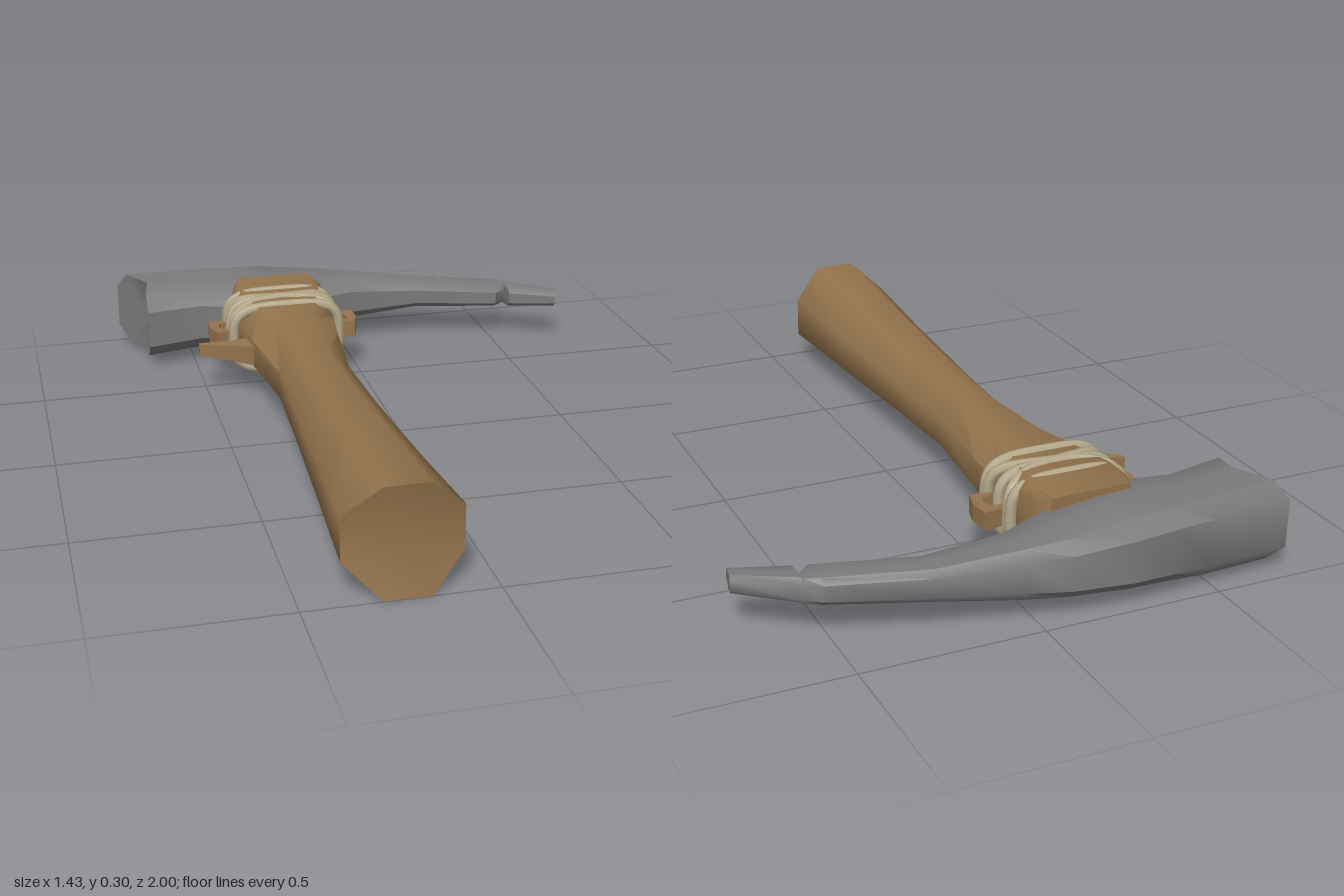
import * as THREE from 'three';
import { toCreasedNormals } from 'three/addons/utils/BufferGeometryUtils.js';

const wood = new THREE.MeshStandardMaterial({ color: 0x93734c });
const metal = new THREE.MeshStandardMaterial({ color: 0x7a7a7a });
const cord = new THREE.MeshStandardMaterial({ color: 0xb5a98c });

// Skins a list of rings (arrays of [x, y, z]) and closes both ends around a centre point.
function loft(rings, crease, startCentre, endCentre) {
  const n = rings[0].length;
  const mean = ring => [0, 1, 2].map(k => ring.reduce((s, p) => s + p[k], 0) / n);
  const first = rings[0], last = rings[rings.length - 1];
  const c0 = startCentre || mean(first), c1 = endCentre || mean(last);
  const tris = [];
  for (let j = 0; j < n; j++) {
    const k = (j + 1) % n;
    tris.push([c0, first[k], first[j]], [c1, last[j], last[k]]);
    for (let i = 0; i < rings.length - 1; i++) {
      const a = rings[i], b = rings[i + 1];
      tris.push([a[j], a[k], b[k]], [a[j], b[k], b[j]]);
    }
  }
  // a negative volume means the faces point inwards
  let volume = 0;
  for (const [a, b, c] of tris) {
    const [p, q, r] = [a, b, c].map(v => new THREE.Vector3(...v));
    volume += p.dot(q.cross(r));
  }
  if (volume < 0) tris.forEach(t => t.reverse());
  const geo = new THREE.BufferGeometry();
  geo.setAttribute('position', new THREE.Float32BufferAttribute(tris.flat(2), 3));
  return toCreasedNormals(geo, crease);
}

// Octagon around the handle axis; fx and fy set how far the corners are cut.
function octagon(x0, x1, y0, y1, fx, fy, zFlat, zSide = zFlat) {
  const cx = (x0 + x1) / 2, cy = (y0 + y1) / 2, w = (x1 - x0) / 2, h = (y1 - y0) / 2;
  return [
    [fx, 1, zFlat], [1, fy, zSide], [1, -fy, zSide], [fx, -1, zFlat],
    [-fx, -1, zFlat], [-1, -fy, zSide], [-1, fy, zSide], [-fx, 1, zFlat]
  ].map(([u, v, z]) => [cx + u * w, cy + v * h, z]);
}

// Ten-sided section of the head: back edge b, front edge f, height y0..y1.
function headSection(xs, b, f, y0, y1) {
  const cy = (y0 + y1) / 2, h = (y1 - y0) / 2, d = f - b;
  const [xb, xt, xm, xf] = Array.isArray(xs) ? xs : [xs, xs, xs, xs];
  const upper = [[xb, 0.6, 0], [xt, 1, 0.14], [xm, 1, 0.5], [xf, 0.9, 0.82], [xf, 0.5, 1]];
  const half = s => upper.map(([x, v, t]) => [x, cy + s * v * h, b + t * d]);
  return [...half(1), ...half(-1).reverse()];
}

export function createModel() {
  const model = new THREE.Group();
  const add = (name, geo, mat) => {
    const mesh = new THREE.Mesh(geo, mat);
    mesh.name = name;
    model.add(mesh);
    return mesh;
  };

  // handle, swelling to the butt and running through the head as two tongues
  add('handle', loft([
    octagon(-0.39, -0.08, 0, 0.3, 0.39, 0.4, 1, 0.95),
    octagon(-0.37, -0.1, 0.015, 0.27, 0.4, 0.4, 0.6),
    octagon(-0.35, -0.12, 0.033, 0.247, 0.4, 0.4, 0.2),
    octagon(-0.337, -0.13, 0.04, 0.24, 0.4, 0.4, -0.1),
    octagon(-0.368, -0.1, 0.04, 0.243, 0.45, 0.4, -0.38),
    octagon(-0.38, -0.088, 0.036, 0.246, 0.6, 0.5, -0.5),
    octagon(-0.385, -0.08, 0.03, 0.25, 0.8, 0.7, -0.66),
    octagon(-0.372, -0.085, 0.028, 0.252, 0.88, 0.85, -0.72),
    octagon(-0.345, -0.11, 0.032, 0.25, 0.95, 0.85, -0.8)
  ], 0.85), wood);

  // head: flared hollow face on the right, long drooping pick on the left
  add('head', loft([
    headSection([-0.72, -0.69, -0.635, -0.65], -0.965, -0.685, 0.02, 0.25),
    headSection(-0.48, -0.983, -0.72, 0.026, 0.246),
    headSection(-0.37, -0.99, -0.69, 0.032, 0.242),
    headSection(-0.25, -1, -0.69, 0.04, 0.236),
    headSection(-0.08, -0.99, -0.745, 0.055, 0.217),
    headSection(0.04, -0.965, -0.8, 0.066, 0.205),
    headSection(0.26, -0.92, -0.8, 0.09, 0.18),
    headSection(0.52, -0.84, -0.72, 0.098, 0.172),
    headSection(0.56, -0.815, -0.757, 0.1, 0.17),
    headSection(0.563, -0.813, -0.707, 0.1, 0.17),
    headSection([0.715, 0.713, 0.71, 0.705], -0.71, -0.65, 0.11, 0.16)
  ], 0.75, [-0.62, 0.135, -0.83]), metal);

  // lashing: three straight turns and two slanting turns that cross above and below
  const lashing = new THREE.Group();
  lashing.name = 'lashing';
  model.add(lashing);
  const turns = [[-0.515, 0], [-0.593, 0], [-0.665, 0], [-0.59, 0.06], [-0.59, -0.06]];
  for (const [z, slant] of turns) {
    const points = [];
    for (let i = 0; i < 24; i++) {
      const a = (i / 24) * Math.PI * 2, c = Math.cos(a), s = Math.sin(a);
      const round = v => Math.sign(v) * Math.pow(Math.abs(v), 0.55);
      points.push(new THREE.Vector3(-0.235 + 0.168 * round(c), 0.14 + 0.102 * round(s), z + slant * c));
    }
    const path = new THREE.CatmullRomCurve3(points, true);
    const turn = new THREE.Mesh(new THREE.TubeGeometry(path, 64, 0.016, 7, true), cord);
    turn.name = 'lashingTurn';
    lashing.add(turn);
  }

  // hooked pegs on both sides that hold the lashing
  for (const [name, x, side] of [['rightPeg', -0.385, -1], ['leftPeg', -0.08, 1]]) {
    const shape = new THREE.Shape([
      [0, 0.05], [0.08, 0.06], [0.085, 0], [0.07, -0.055], [0, -0.045],
      [0, -0.028], [0.045, -0.028], [0.056, 0], [0.045, 0.028], [0, 0.028]
    ].map(([u, v]) => new THREE.Vector2(u * side, v)));
    const geo = new THREE.ExtrudeGeometry(shape, { depth: 0.052, bevelEnabled: false });
    geo.rotateX(-Math.PI / 2);
    add(name, geo, wood).position.set(x, 0.11, -0.59);
  }

  // broken twig stub beside the lashing
  const stub = (x, y0, y1, z0, z1) => [[x, y0, z0], [x, y1, z0], [x, y1, z1], [x, y0, z1]];
  add('twigStub', loft([
    stub(-0.33, 0.095, 0.175, -0.47, -0.34),
    stub(-0.375, 0.105, 0.165, -0.455, -0.375),
    stub(-0.42, 0.11, 0.16, -0.458, -0.405),
    stub(-0.52, 0.117, 0.153, -0.478, -0.462)
  ], 0.6), wood);

  return model;
}
